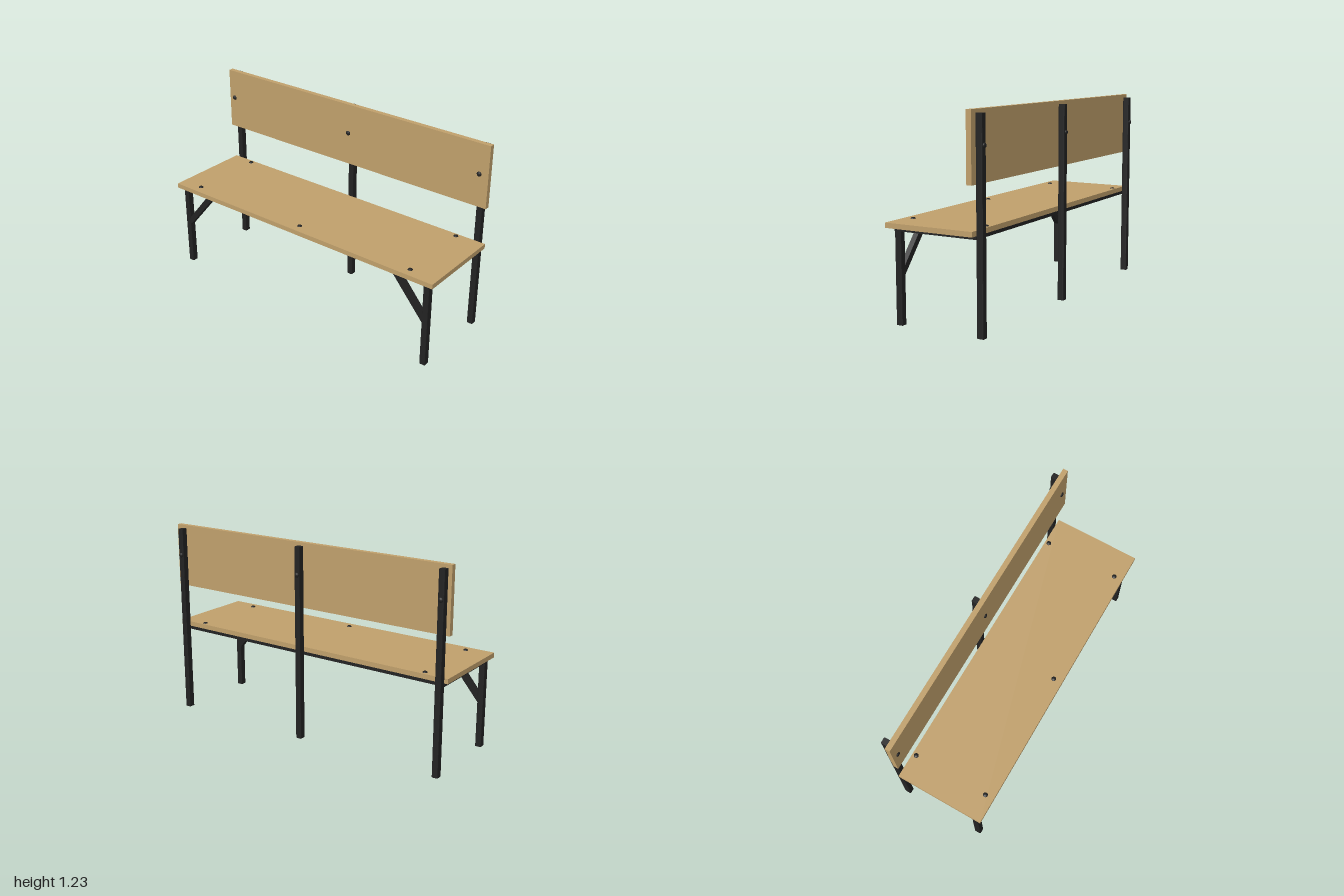
import * as THREE from 'three';

const wood = new THREE.MeshStandardMaterial({ color: 0xbf9f6b });
wood.name = 'light wood';
const steel = new THREE.MeshStandardMaterial({ color: 0x222222 });
steel.name = 'black steel';

const LEG_X = [-0.96, 0.005, 0.94];
const SEAT_BOLT_X = [-0.84, 0.005, 0.815];

export function createModel() {
  const bench = new THREE.Group();
  bench.name = 'bench';

  const add = (name, geometry, material) => {
    const mesh = new THREE.Mesh(geometry, material);
    mesh.name = name;
    bench.add(mesh);
    return mesh;
  };

  // Box given by its lower and upper corners
  const box = (name, [x0, y0, z0], [x1, y1, z1], material) => {
    const mesh = add(name, new THREE.BoxGeometry(x1 - x0, y1 - y0, z1 - z0), material);
    mesh.position.set((x0 + x1) / 2, (y0 + y1) / 2, (z0 + z1) / 2);
    return mesh;
  };

  // Upright steel bar with softened long edges, standing on y = 0
  const post = (name, x, z, w, d, height) => {
    const r = 0.006, a = w / 2, b = d / 2;
    const s = new THREE.Shape();
    s.moveTo(-a + r, -b);
    s.lineTo(a - r, -b);
    s.quadraticCurveTo(a, -b, a, -b + r);
    s.lineTo(a, b - r);
    s.quadraticCurveTo(a, b, a - r, b);
    s.lineTo(-a + r, b);
    s.quadraticCurveTo(-a, b, -a, b - r);
    s.lineTo(-a, -b + r);
    s.quadraticCurveTo(-a, -b, -a + r, -b);
    const g = new THREE.ExtrudeGeometry(s, { depth: height, bevelEnabled: false, curveSegments: 3 });
    g.rotateX(-Math.PI / 2);
    add(name, g, steel).position.set(x, 0, z);
  };

  // Domed bolt head, rising along +y
  const headProfile = [[0, 0], [0.015, 0], [0.015, 0.003], [0.011, 0.008], [0, 0.01]]
    .map(([x, y]) => new THREE.Vector2(x, y));
  const bolt = (name, x, y, z, tilt) => {
    const mesh = add(name, new THREE.LatheGeometry(headProfile, 16), steel);
    mesh.position.set(x, y, z);
    mesh.rotation.x = tilt;
  };

  // Wooden boards
  box('seat', [-1, 0.56, -0.258], [1, 0.59, 0.312], wood);
  box('backrest', [-1, 0.835, -0.258], [1, 1.232, -0.226], wood);

  // Back posts with the backrest bolts
  for (const x of LEG_X) {
    post('backPost', x, -0.279, 0.038, 0.042, 1.212);
    bolt('backrestBolt', x, 1.043, -0.226, Math.PI / 2);
    bolt('backrestNut', x, 1.043, -0.3, -Math.PI / 2);
  }

  // Front legs, each with a diagonal brace towards the middle
  for (const [x, dir] of [[LEG_X[0], 1], [LEG_X[2], -1]]) {
    post('frontLeg', x, 0.256, 0.038, 0.042, 0.545);
    const s = new THREE.Shape();
    s.moveTo(dir * 0.015, 0.28);
    s.lineTo(dir * 0.24, 0.545);
    s.lineTo(dir * 0.19, 0.545);
    s.lineTo(dir * 0.015, 0.335);
    s.closePath();
    const g = new THREE.ExtrudeGeometry(s, { depth: 0.034, bevelEnabled: false });
    add('brace', g, steel).position.set(x, 0, 0.239);
  }

  // Steel frame under the seat
  box('frontRail', [-0.979, 0.54, 0.235], [0.959, 0.56, 0.277], steel);
  box('backRail', [-0.979, 0.54, -0.258], [0.959, 0.56, -0.218], steel);
  for (const x of LEG_X) {
    box('crossRail', [x - 0.019, 0.54, -0.218], [x + 0.019, 0.56, 0.235], steel);
  }

  // Seat bolts; the back rail has none in the middle
  for (const x of SEAT_BOLT_X) {
    for (const z of [0.255, -0.232]) {
      if (z < 0 && x === SEAT_BOLT_X[1]) continue;
      bolt('seatBolt', x, 0.588, z, 0);
      bolt('seatNut', x, 0.542, z, Math.PI);
    }
  }

  return bench;
}
